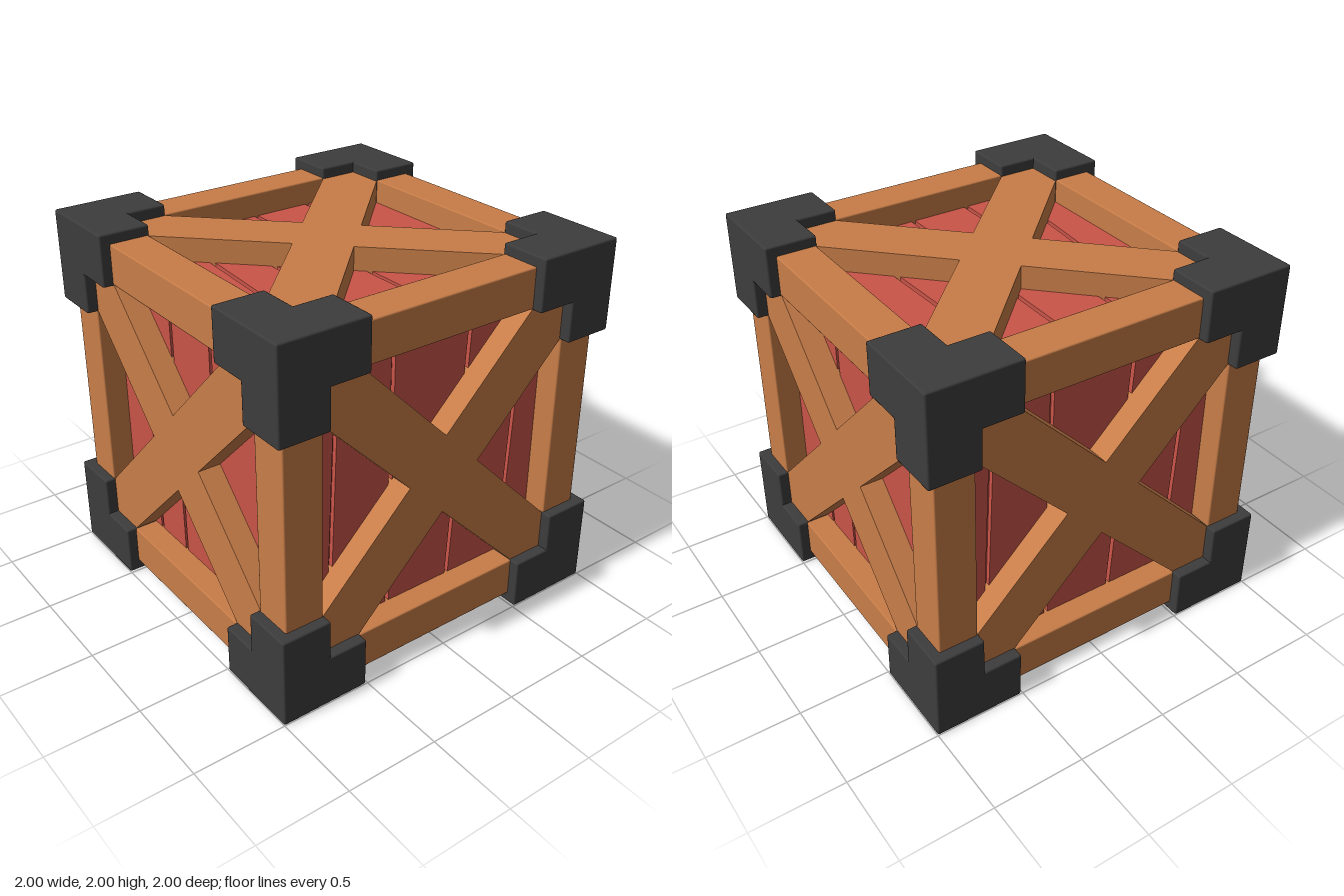
import * as THREE from 'three';
import { RoundedBoxGeometry } from 'three/addons/geometries/RoundedBoxGeometry.js';

const wood = new THREE.MeshStandardMaterial({ color: 0xc87d48 });
const red = new THREE.MeshStandardMaterial({ color: 0xc95448 });
const iron = new THREE.MeshStandardMaterial({ color: 0x3d3d3d });

const IN = 0.73, OUT = 0.945; // frame beam section, measured from the centre
const AXES = ['x', 'y', 'z'];

function box(name, size, pos, material, bevel) {
  const mesh = new THREE.Mesh(new RoundedBoxGeometry(size.x, size.y, size.z, 1, bevel), material);
  mesh.name = name;
  mesh.position.copy(pos);
  return mesh;
}

function slab(name, points, z0, z1, material) {
  const shape = new THREE.Shape(points.map(([x, y]) => new THREE.Vector2(x, y)));
  const geo = new THREE.ExtrudeGeometry(shape, { depth: z1 - z0, bevelEnabled: false });
  const mesh = new THREE.Mesh(geo.translate(0, 0, z0), material);
  mesh.name = name;
  return mesh;
}

// One side of the crate, facing +z: slanted planks behind an X brace.
// Each gap is [x at the lower edge, x at the upper edge].
function createSide(name, gaps) {
  const side = new THREE.Group();
  side.name = name;
  const h = 0.76, half = 0.011;
  const edges = [[-h - half, -h - half], ...gaps, [h + half, h + half]];
  for (let i = 0; i < edges.length - 1; i++) {
    const [a, b] = [edges[i], edges[i + 1]];
    side.add(slab('plank', [
      [a[0] + half, -h], [b[0] - half, -h], [b[1] - half, h], [a[1] + half, h],
    ], 0.77, 0.815, red));
  }

  const w = 0.215, outline = [];
  for (let i = 0; i < 4; i++) {
    const c = Math.round(Math.cos(i * Math.PI / 2)), s = Math.round(Math.sin(i * Math.PI / 2));
    for (const [x, y] of [[w, 0], [IN, IN - w], [IN, IN]]) outline.push([x * c - y * s, x * s + y * c]);
    outline.push([(IN - w) * c - IN * s, (IN - w) * s + IN * c]);
  }
  side.add(slab('crossBrace', outline, 0.78, 0.94, wood));
  return side;
}

export function createModel() {
  const crate = new THREE.Group();
  crate.name = 'crate';
  const body = new THREE.Group();
  body.name = 'crateBody';
  body.position.y = 1;
  crate.add(body);

  // Inner core seen through the plank gaps
  body.add(box('innerCore', new THREE.Vector3(1.58, 1.58, 1.58), new THREE.Vector3(), red, 0.005));

  // Twelve frame beams
  const mid = (IN + OUT) / 2, thick = OUT - IN;
  AXES.forEach((axis, i) => {
    const b = AXES[(i + 1) % 3], c = AXES[(i + 2) % 3];
    for (const s of [-1, 1]) for (const t of [-1, 1]) {
      const size = new THREE.Vector3(thick, thick, thick);
      size[axis] = 1.6;
      const pos = new THREE.Vector3();
      pos[b] = s * mid;
      pos[c] = t * mid;
      body.add(box('frameBeam', size, pos, wood, 0.008));
    }
  });

  // Eight corner brackets, each with three arms
  for (const x of [-1, 1]) for (const y of [-1, 1]) for (const z of [-1, 1]) {
    const bracket = new THREE.Group();
    bracket.name = 'cornerBracket';
    const sign = new THREE.Vector3(x, y, z);
    for (const axis of AXES) {
      const size = new THREE.Vector3(0.275, 0.275, 0.275);
      size[axis] = 0.49;
      const pos = new THREE.Vector3(1, 1, 1).addScaledVector(size, -0.5).multiply(sign);
      bracket.add(box('bracketArm', size, pos, iron, 0.01));
    }
    body.add(bracket);
  }

  // Six sides; opposite sides share a plank pattern
  const frontGaps = [[-0.605, -0.555], [-0.235, -0.235], [0.165, 0.24], [0.535, 0.595]];
  const rightGaps = [[-0.435, -0.49], [-0.175, -0.195], [0.165, 0.175], [0.515, 0.65]];
  const topGaps = [[-0.58, -0.465], [-0.28, -0.28], [0.055, 0.055], [0.465, 0.395]];
  const q = Math.PI / 2;
  for (const [name, gaps, rx, ry] of [
    ['frontSide', frontGaps, 0, 0], ['backSide', frontGaps, 0, 2 * q],
    ['leftSide', rightGaps, 0, q], ['rightSide', rightGaps, 0, -q],
    ['topSide', topGaps, -q, 0], ['bottomSide', topGaps, q, 0],
  ]) {
    const side = createSide(name, gaps);
    side.rotation.set(rx, ry, 0);
    body.add(side);
  }
  return crate;
}
